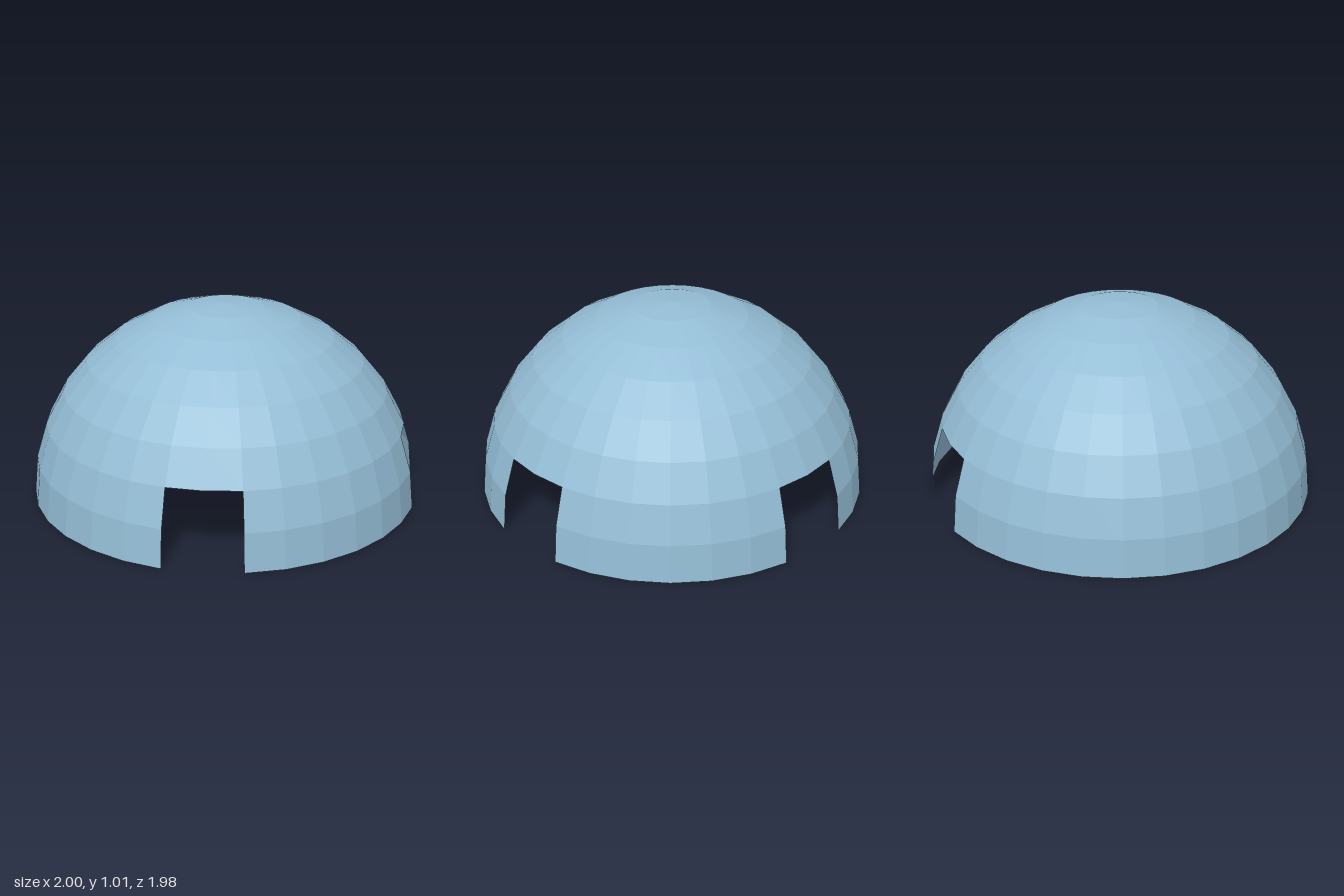
import * as THREE from 'three';

export function createModel() {
  const group = new THREE.Group();
  group.name = 'dome';

  const paleBlue = new THREE.MeshStandardMaterial({ color: 0x94bdd5, flatShading: true, side: THREE.DoubleSide });
  paleBlue.name = 'paleBlue';

  const radius = 1.0097;
  const step = Math.PI / 16; // angle of one facet, both around and up

  function addShell(name, firstColumn, columns, firstRing, rings) {
    const geometry = new THREE.SphereGeometry(
      radius, columns, rings, firstColumn * step, columns * step, firstRing * step, rings * step);
    const mesh = new THREE.Mesh(geometry, paleBlue);
    mesh.name = name;
    // the missing facets on the +x side shift the centre slightly
    mesh.position.x = 0.0097;
    group.add(mesh);
  }

  // Closed upper dome
  addShell('domeRoof', 0, 32, 0, 6);

  // Lower walls, leaving doorways two facets wide at the front, left and back
  addShell('frontLeftWall', 9, 6, 6, 2);
  addShell('backLeftWall', 17, 6, 6, 2);
  addShell('rightWall', 25, 14, 6, 2);

  return group;
}
